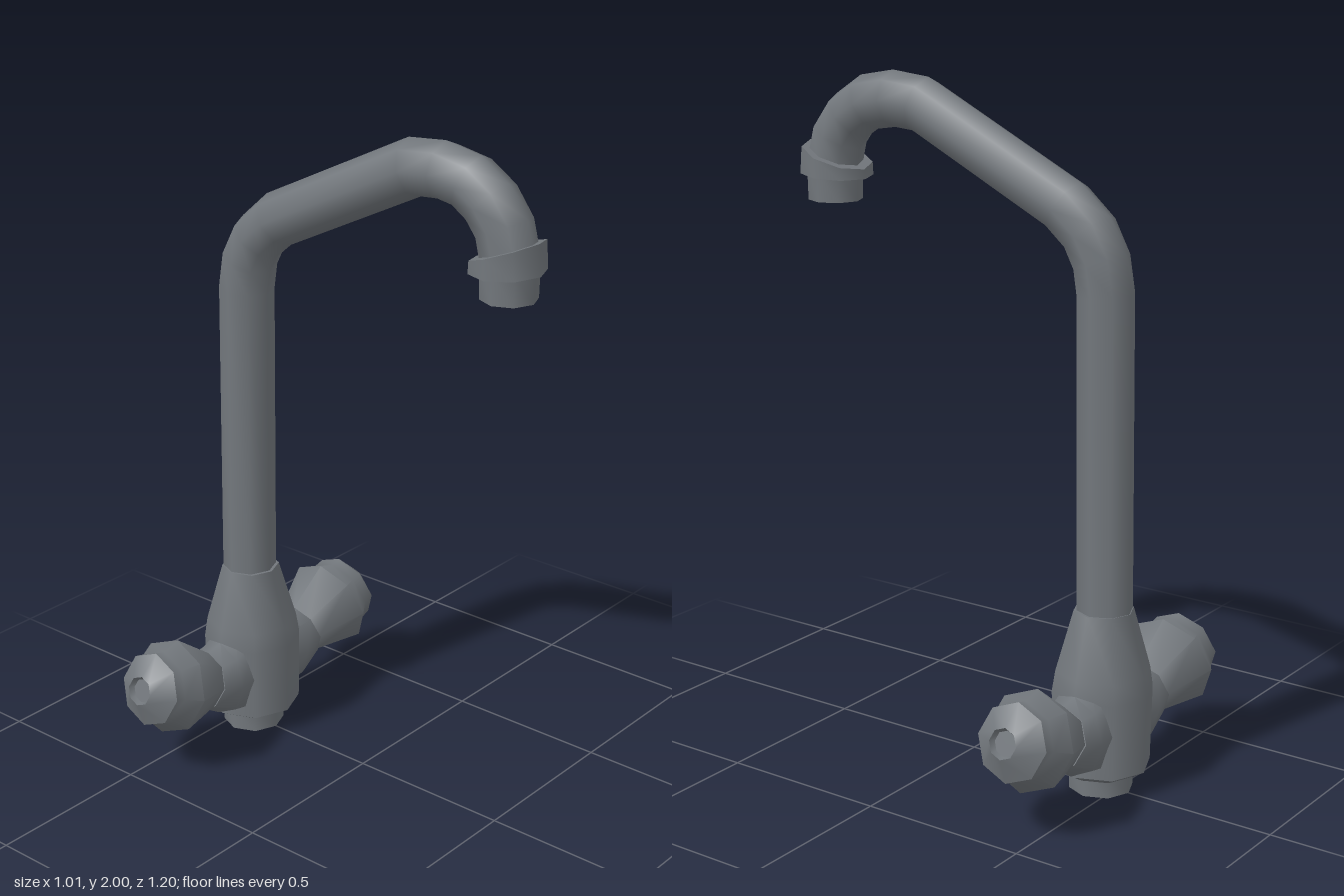
import * as THREE from 'three';
import { toCreasedNormals } from 'three/addons/utils/BufferGeometryUtils.js';

const SIDES = 8;
const CREASE = 0.9;
const AXIS_Z = -0.45; // z of the upright pipe and body

export function createModel() {
  const model = new THREE.Group();
  model.name = 'mixerTap';
  const metal = new THREE.MeshStandardMaterial({ color: 0x72777c });
  metal.name = 'darkGreyMetal';

  const V = (x, y, z) => new THREE.Vector3(x, y, z);

  function add(parent, name, geometry) {
    const mesh = new THREE.Mesh(toCreasedNormals(geometry, CREASE), metal);
    mesh.name = name;
    parent.add(mesh);
    return mesh;
  }

  // Turned part from [radius, height] points, listed from bottom to top
  function turned(points) {
    return new THREE.LatheGeometry(points.map(([r, y]) => new THREE.Vector2(r, y)), SIDES);
  }

  // Eight-sided loft through sections [centre, u, v], with closed ends
  function loft(sections) {
    const pos = [];
    const index = [];
    for (const [c, u, v] of sections) {
      for (let k = 0; k < SIDES; k++) {
        const a = (k / SIDES) * Math.PI * 2;
        const p = c.clone().addScaledVector(u, Math.cos(a)).addScaledVector(v, Math.sin(a));
        pos.push(p.x, p.y, p.z);
      }
    }
    const last = (sections.length - 1) * SIDES;
    for (let k = 0; k < SIDES; k++) {
      const n = (k + 1) % SIDES;
      for (let i = 0; i < last; i += SIDES) {
        index.push(i + k, i + n, i + SIDES + k, i + n, i + SIDES + n, i + SIDES + k);
      }
      if (k > 0 && n > 0) index.push(0, n, k, last, last + k, last + n);
    }
    const geometry = new THREE.BufferGeometry();
    geometry.setAttribute('position', new THREE.Float32BufferAttribute(pos, 3));
    geometry.setIndex(index);
    return geometry;
  }

  // Base foot with a shallow recess below
  add(model, 'baseFoot', turned([
    [0, 0.012], [0.075, 0.012], [0.08, 0], [0.094, 0], [0.094, 0.065],
  ])).position.z = AXIS_Z;

  // Central body tapering to the neck
  add(model, 'body', turned([
    [0, 0.05], [0.1, 0.05], [0.143, 0.075], [0.147, 0.3], [0.138, 0.36], [0.087, 0.54], [0, 0.54],
  ])).position.z = AXIS_Z;

  // Swan-neck pipe: centre line as [z, y], mitred at each bend
  const path = [
    [-0.454, 0.52], [-0.44, 1.44], [-0.425, 1.53], [-0.385, 1.605], [-0.31, 1.67], [0.18, 1.91],
    [0.28, 1.919], [0.37, 1.903], [0.435, 1.86], [0.48, 1.8], [0.5, 1.72],
  ].map(([z, y]) => V(0, y, z));
  const pipeRadius = 0.081;
  const rings = path.map((p, i) => {
    const before = p.clone().sub(path[Math.max(i - 1, 0)]).normalize();
    const after = path[Math.min(i + 1, path.length - 1)].clone().sub(p).normalize();
    const t = before.add(after).normalize();
    return [p, V(pipeRadius, 0, 0), V(0, t.z, -t.y).multiplyScalar(pipeRadius)];
  });
  add(model, 'spoutPipe', loft(rings));

  // Spout collar with a sloping top, and the hollow nozzle under it
  add(model, 'spoutCollar', loft([
    [V(0, 1.684, 0.494), V(0, 0.006, 0.106), V(0.108, 0, 0)],
    [V(0, 1.742, 0.492), V(0, 0.036, 0.1), V(0.108, 0, 0)],
  ]));
  add(model, 'nozzle', turned([
    [0, 1.635], [0.064, 1.635], [0.068, 1.61], [0.08, 1.61], [0.082, 1.7],
  ])).position.z = 0.5;

  // Arm and knob on each side, turned half a circle for the second
  const tilt = 0.28;
  const armSections = [
    [0.02, 0.215, 0.16, 0.1, 0],
    [0.07, 0.212, 0.152, 0.102, 0.02],
    [0.152, 0.203, 0.118, 0.099, 0.07],
    [0.222, 0.225, 0.089, 0.09, tilt],
  ].map(([x, y, h, d, a]) => [V(x, y, 0), V(-Math.sin(a) * h, Math.cos(a) * h, 0), V(0, 0, d)]);
  const knobProfile = [
    [0, 0], [0.086, 0], [0.145, 0.155], [0.113, 0.205], [0.112, 0.24],
    [0.044, 0.286], [0.036, 0.27], [0, 0.27],
  ];
  for (const [side, turn] of [['left', 0], ['right', Math.PI]]) {
    const handle = new THREE.Group();
    handle.name = side + 'Handle';
    handle.position.z = AXIS_Z;
    handle.rotation.y = turn;
    add(handle, side + 'Arm', loft(armSections));
    const knob = add(handle, side + 'Knob', turned(knobProfile));
    knob.position.set(0.22, 0.225, 0);
    knob.rotation.z = tilt - Math.PI / 2;
    model.add(handle);
  }

  return model;
}
